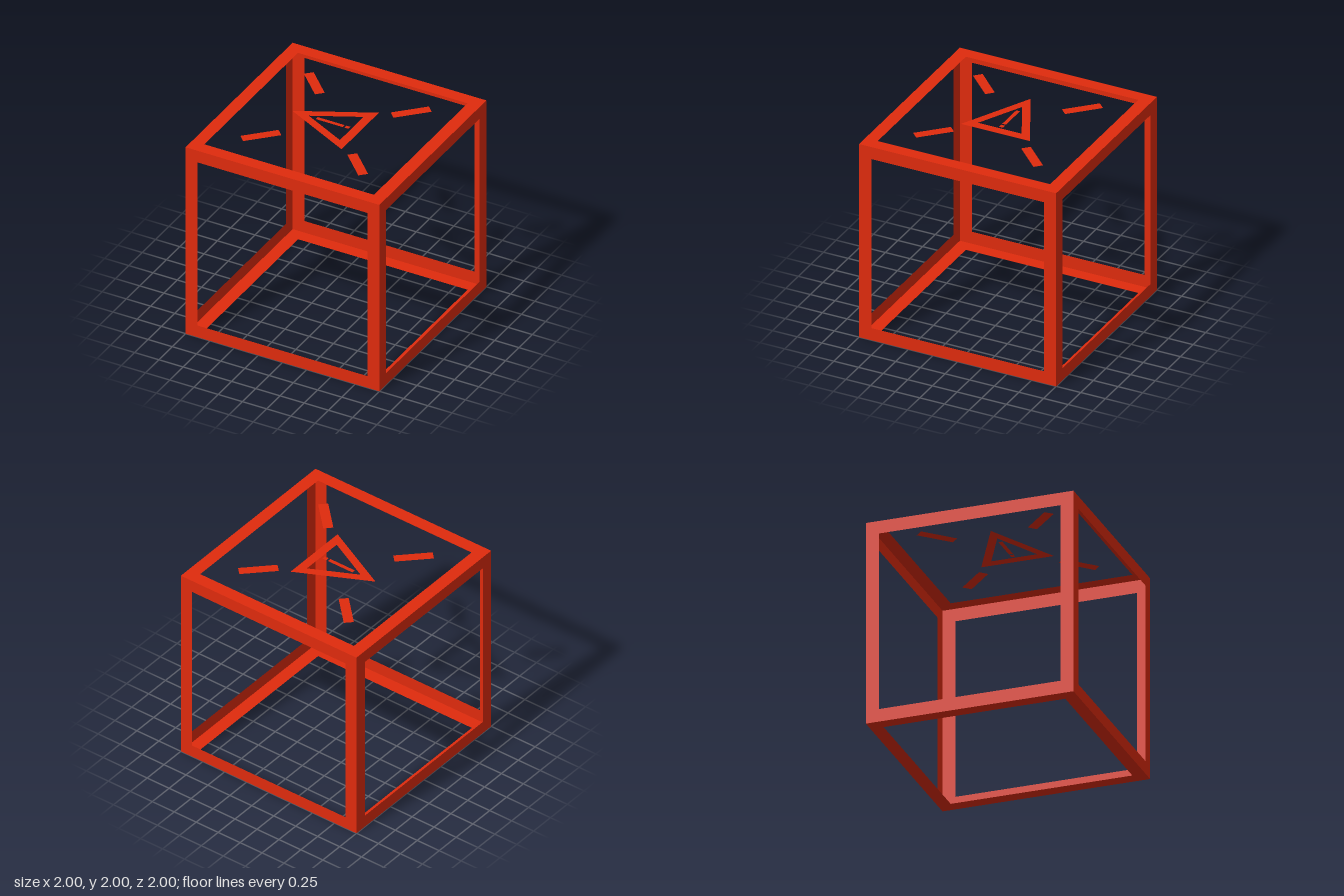
import * as THREE from 'three';

const HALF = 1, INNER = 0.875;

export function createModel() {
  const model = new THREE.Group();
  const red = new THREE.MeshStandardMaterial({ color: 0xe02b0d, side: THREE.DoubleSide });

  const polygon = (points) => points.map(([x, y]) => new THREE.Vector2(x, y));
  const rect = (x0, y0, x1, y1) => polygon([[x0, y0], [x1, y0], [x1, y1], [x0, y1]]);

  // flat sheet cut from an outline, with an optional hole
  const sheet = (name, outline, hole) => {
    const shape = new THREE.Shape(outline);
    if (hole) shape.holes.push(new THREE.Path(hole));
    const mesh = new THREE.Mesh(new THREE.ShapeGeometry(shape), red);
    mesh.name = name;
    return mesh;
  };

  // six thin square borders forming the hollow cube
  const sides = {
    front: [0, 0], leftSide: [0, Math.PI / 2], back: [0, Math.PI], rightSide: [0, -Math.PI / 2],
    top: [-Math.PI / 2, 0], bottom: [Math.PI / 2, 0],
  };
  const cube = new THREE.Group();
  cube.name = 'cubeFrame';
  cube.position.y = HALF;
  for (const [name, [rx, ry]] of Object.entries(sides)) {
    const border = sheet(`${name}Border`, rect(-HALF, -HALF, HALF, HALF), rect(-INNER, -INNER, INNER, INNER));
    border.geometry.translate(0, 0, HALF);
    border.rotation.set(rx, ry, 0);
    cube.add(border);
  }
  model.add(cube);

  // warning sign lying in the plane of the top
  const sign = new THREE.Group();
  sign.name = 'topMarkings';
  sign.position.y = 2 * HALF;
  sign.rotation.x = -Math.PI / 2;
  sign.add(
    sheet('warningTriangle',
      polygon([[-0.45, 0], [0.25, -0.35], [0.25, 0.35]]),
      polygon([[-0.28, 0], [0.162, -0.221], [0.162, 0.221]])),
    sheet('warningStroke', rect(-0.2, -0.019, 0.078, 0.019)),
    sheet('warningDot', rect(0.097, -0.019, 0.14, 0.019)),
  );

  // four diagonal dashes pointing at the corners
  for (let i = 0; i < 4; i++) {
    const dash = sheet('diagonalDash', rect(0.527, -0.046, 0.887, 0.046));
    dash.rotation.z = Math.PI / 4 + i * Math.PI / 2;
    sign.add(dash);
  }
  model.add(sign);

  return model;
}
